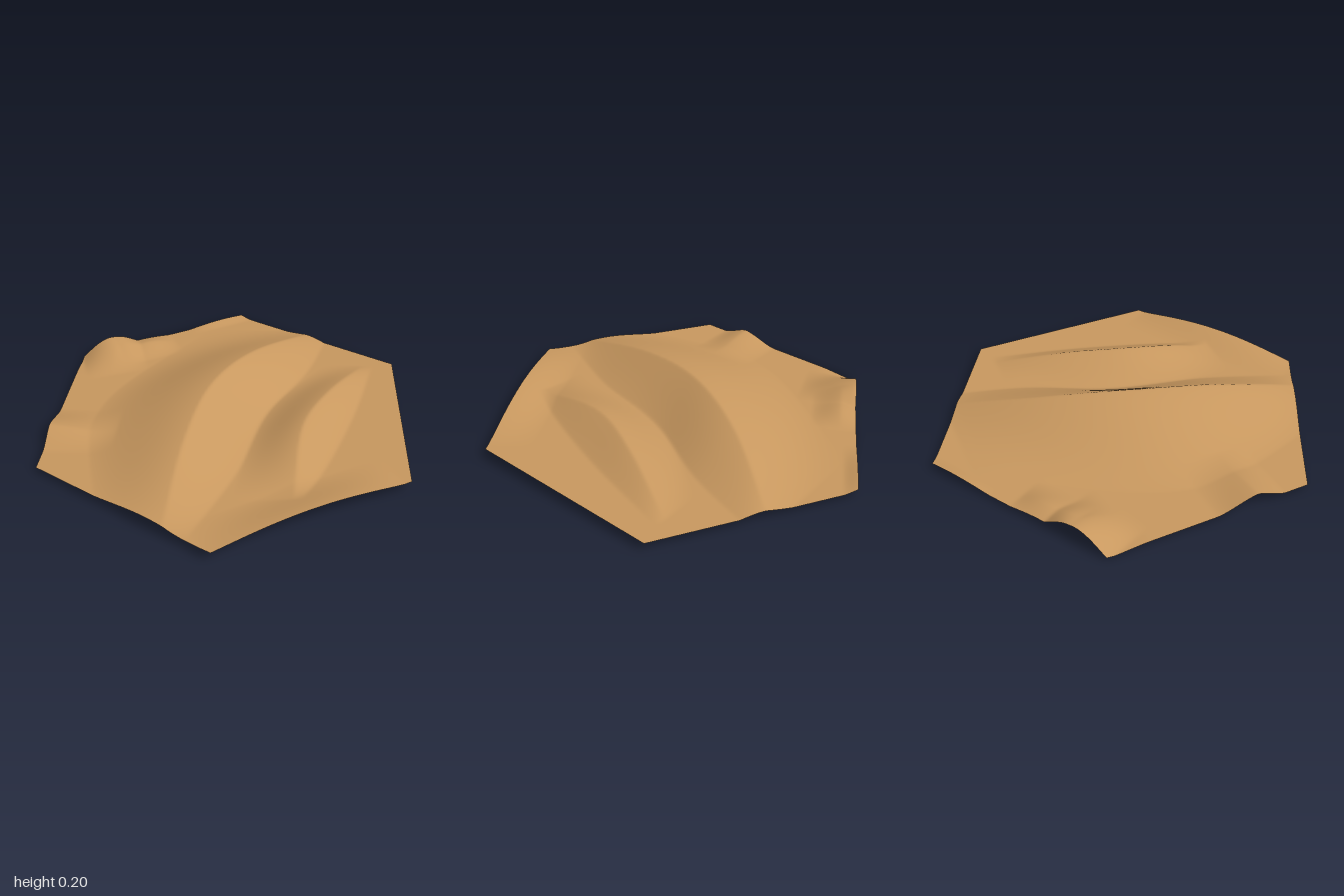
import * as THREE from 'three';

// Smooth line over z through [z, x] points, held constant past both ends
function line(...points) {
  const c = new THREE.CubicInterpolant(points.map(p => p[0]), points.map(p => p[1]), 1, new Float32Array(1));
  return z => c.evaluate(z)[0];
}

const clamp01 = t => Math.min(1, Math.max(0, t));
const ease = t => t * t * (3 - 2 * t);

// Height of a crest along z: an arch with its top at mid, falling to 0 at back and front
function arch(top, back, mid, front) {
  return z => top * Math.pow(clamp01(1 - ((z - mid) / ((z < mid ? back : front) - mid)) ** 2), 1.2);
}

// Long dune: gentle slope up to a sharp crest, then a steep lee face down to its foot
function longDune(start, crest, foot, height) {
  return (x, z) => {
    const a = start(z), c = crest(z), f = foot(z);
    const t = x < c ? clamp01((x - a) / (c - a)) : clamp01((f - x) / (f - c));
    return height(z) * (x < c ? 0.5 * t + 0.5 * ease(t) : 0.9 * t + 0.1 * ease(t));
  };
}

// Short mound: crest across (cx, cz), lee side falling at an angle turned from +z towards +x
function mound(cx, cz, angle, halfLength, back, lee, height) {
  const dx = Math.sin(angle), dz = Math.cos(angle);
  return (x, z) => {
    const u = (x - cx) * dx + (z - cz) * dz;
    const v = (x - cx) * dz - (z - cz) * dx;
    const end = Math.pow(clamp01(1 - (v / halfLength) ** 2), 1.3);
    const t = clamp01(1 - Math.abs(u) / (u < 0 ? back : lee));
    return height * end * (0.4 * t + 0.6 * ease(t));
  };
}

const features = [
  // main dune
  longDune(
    line([-0.8, -0.2], [0, -0.66], [0.9, -0.5]),
    line([-0.78, 0.4], [-0.4, 0.115], [0, -0.08], [0.4, -0.17], [0.9, -0.22]),
    line([-0.75, 0.51], [-0.4, 0.4], [0, 0.2], [0.5, 0.065], [0.9, -0.1]),
    arch(0.174, -0.84, 0, 0.95)),
  // second dune
  longDune(
    line([-0.45, 0.48], [0, 0.19], [0.65, 0.06]),
    line([-0.45, 0.69], [-0.1, 0.505], [0.2, 0.38], [0.64, 0.335]),
    line([-0.45, 0.75], [0, 0.63], [0.4, 0.49], [0.65, 0.38]),
    arch(0.094, -0.47, 0.15, 0.67)),
  // small mounds cut off by the border
  mound(0.41, 0.78, -2.62, 0.5, 0.3, 0.22, 0.05),
  mound(-0.95, 0.23, 0, 0.42, 0.2, 0.15, 0.055),
  mound(-0.73, -0.58, 0.36, 0.17, 0.22, 0.28, 0.08),
  mound(-0.52, -0.61, 0.52, 0.17, 0.14, 0.14, 0.034),
  mound(-0.1, -0.96, 0.52, 0.25, 0.2, 0.08, 0.02),
  // hollow at the back corner
  mound(-0.87, -0.5, 0, 0.2, 0.2, 0.2, -0.012),
];

// Gently tilted ground plus every dune and mound
function heightAt(x, z) {
  return features.reduce((y, f) => y + f(x, z), 0.033 + 0.016 * x + 0.012 * z);
}

// Hexagonal sheet made of concentric rings, with corners at z = -1 and z = 1
function hexSheet(rings) {
  const pos = [0, heightAt(0, 0), 0], index = [];
  const corner = k => [Math.sin(k * Math.PI / 3), Math.cos(k * Math.PI / 3)];
  const id = (r, i) => r === 0 ? 0 : 1 + 3 * r * (r - 1) + i % (6 * r);
  for (let r = 1; r <= rings; r++) {
    for (let k = 0; k < 6; k++) {
      const [ax, az] = corner(k), [bx, bz] = corner(k + 1);
      for (let j = 0; j < r; j++) {
        const s = r / rings, t = j / r;
        const x = s * (ax + (bx - ax) * t), z = s * (az + (bz - az) * t);
        pos.push(x, heightAt(x, z), z);
        const o = k * r + j, n = k * (r - 1) + j;
        index.push(id(r - 1, n), id(r, o), id(r, o + 1));
        if (j < r - 1) index.push(id(r - 1, n), id(r, o + 1), id(r - 1, n + 1));
      }
    }
  }
  const geo = new THREE.BufferGeometry();
  geo.setAttribute('position', new THREE.Float32BufferAttribute(pos, 3));
  geo.setIndex(index);
  geo.computeVertexNormals();
  return geo;
}

export function createModel() {
  const group = new THREE.Group();
  group.name = 'desertTile';
  const sand = new THREE.MeshStandardMaterial({ color: 0xc8985f, side: THREE.DoubleSide });
  sand.name = 'sand';
  const dunes = new THREE.Mesh(hexSheet(80), sand);
  dunes.name = 'sandDunes';
  group.add(dunes);
  return group;
}
